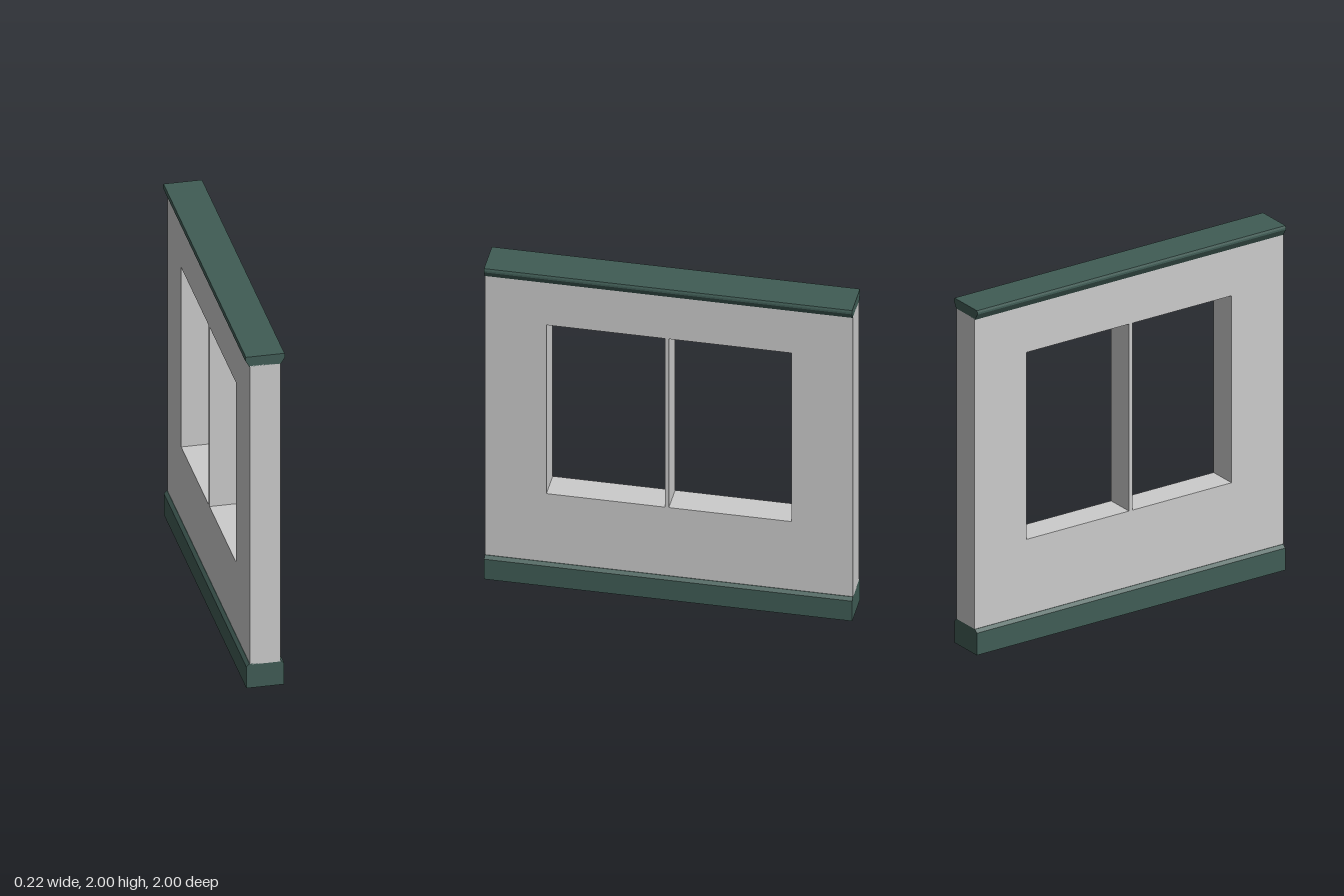
import * as THREE from 'three';

const LENGTH = 2;
const wallMaterial = new THREE.MeshStandardMaterial({ color: 0xcccccc });
const trimMaterial = new THREE.MeshStandardMaterial({ color: 0x405c55 });

// Straight moulding along z from half of a symmetrical cross-section
function moulding(name, half) {
  const mirrored = half.map(([x, y]) => [-x, y]).reverse();
  const shape = new THREE.Shape([...half, ...mirrored].map(([x, y]) => new THREE.Vector2(x, y)));
  const geometry = new THREE.ExtrudeGeometry(shape, { depth: LENGTH, bevelEnabled: false });
  geometry.translate(0, 0, -LENGTH / 2);
  const mesh = new THREE.Mesh(geometry, trimMaterial);
  mesh.name = name;
  return mesh;
}

function rectangle(PathType, z0, z1, y0, y1) {
  return new PathType([[z0, y0], [z1, y0], [z1, y1], [z0, y1]].map(([z, y]) => new THREE.Vector2(z, y)));
}

export function createModel() {
  const group = new THREE.Group();
  group.name = 'windowWall';

  // Wall panel with two openings either side of a thin mullion
  const thickness = 0.168;
  const panel = rectangle(THREE.Shape, -1, 1, 0.14, 1.945);
  for (const [z0, z1] of [[-0.665, 0], [0.022, 0.665]]) {
    panel.holes.push(rectangle(THREE.Path, z0, z1, 0.583, 1.668));
  }
  const geometry = new THREE.ExtrudeGeometry(panel, { depth: thickness, bevelEnabled: false });
  geometry.translate(0, 0, -thickness / 2);
  geometry.rotateY(-Math.PI / 2);
  const wall = new THREE.Mesh(geometry, wallMaterial);
  wall.name = 'wall';

  // Chamfered skirting at the foot and flared coping along the top
  group.add(
    wall,
    moulding('baseTrim', [[0.103, 0], [0.103, 0.128], [0.086, 0.145]]),
    moulding('topTrim', [[0.086, 1.94], [0.109, 1.978], [0.109, 1.988], [0.105, 2]])
  );
  return group;
}
